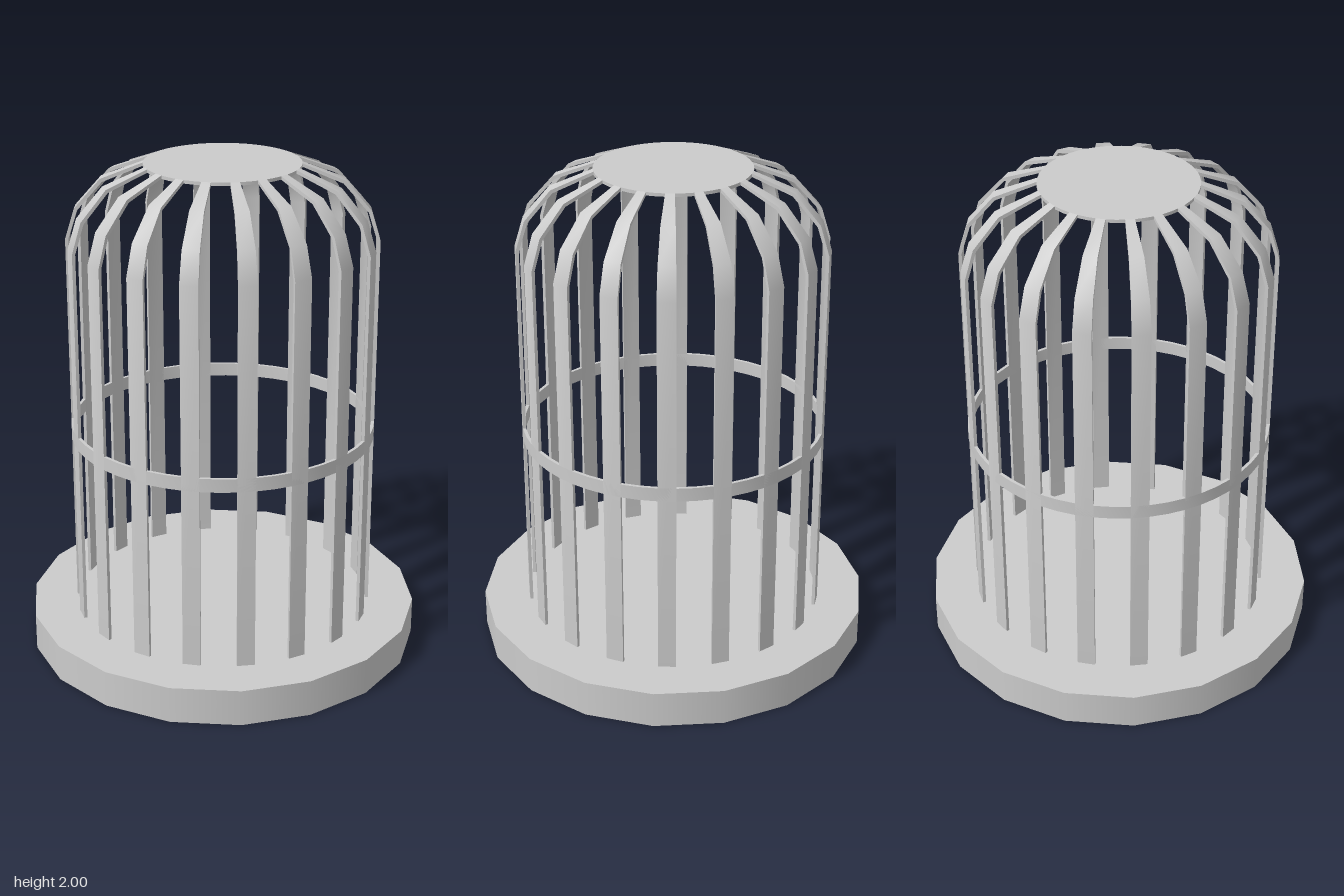
import * as THREE from 'three';
import { toCreasedNormals } from 'three/addons/utils/BufferGeometryUtils.js';

const BARS = 18;
const STEP = (Math.PI * 2) / BARS;
const BAR_ANGLE = STEP / 3;
const START = Math.PI / 2;

// Bar profile as [radius, height], outside and inside, from floor to crown
const OUTER = [[0.61, 0.15], [0.61, 1.7], [0.573, 1.82], [0.47, 1.937], [0.305, 2]];
const INNER = [[0.597, 0.15], [0.597, 1.7], [0.561, 1.813], [0.462, 1.925], [0.305, 1.987]];

// A box bent along the profile and narrowed towards the crown like a wedge
function barGeometry() {
  const rows = OUTER.length - 1;
  const geometry = new THREE.BoxGeometry(1, 1, 1, 1, rows, 1);
  const pos = geometry.attributes.position;
  for (let i = 0; i < pos.count; i++) {
    const row = Math.round((pos.getY(i) + 0.5) * rows);
    const [r, y] = (pos.getZ(i) > 0 ? OUTER : INNER)[row];
    const a = (pos.getX(i) + 0.5) * BAR_ANGLE;
    pos.setXYZ(i, r * Math.sin(a), y, r * Math.cos(a));
  }
  return toCreasedNormals(geometry, 0.6);
}

export function createModel() {
  const model = new THREE.Group();
  model.name = 'birdcage';
  const material = new THREE.MeshStandardMaterial({ color: 0xcccccc });

  const add = (name, geometry, parent = model) => {
    const mesh = new THREE.Mesh(geometry, material);
    mesh.name = name;
    parent.add(mesh);
    return mesh;
  };

  // Floor slab with a corner on each side
  add('base', new THREE.CylinderGeometry(0.795, 0.795, 0.15, BARS, 1, false, START)).position.y = 0.075;

  // Upright bars curving in to the crown
  const bars = new THREE.Group();
  bars.name = 'bars';
  model.add(bars);
  const bar = barGeometry();
  for (let i = 0; i < BARS; i++) add('bar', bar, bars).rotation.y = START + i * STEP;

  // Hoop around the middle
  const hoop = [[0.597, 0.895], [0.61, 0.895], [0.61, 0.95], [0.597, 0.95], [0.597, 0.895]]
    .map(([x, y]) => new THREE.Vector2(x, y));
  add('hoop', toCreasedNormals(new THREE.LatheGeometry(hoop, BARS * 3, START), 0.6));

  // Flat plate closing the crown
  add('crownPlate', new THREE.CylinderGeometry(0.305, 0.305, 0.013, BARS * 3, 1, false, START)).position.y = 1.9935;

  return model;
}
